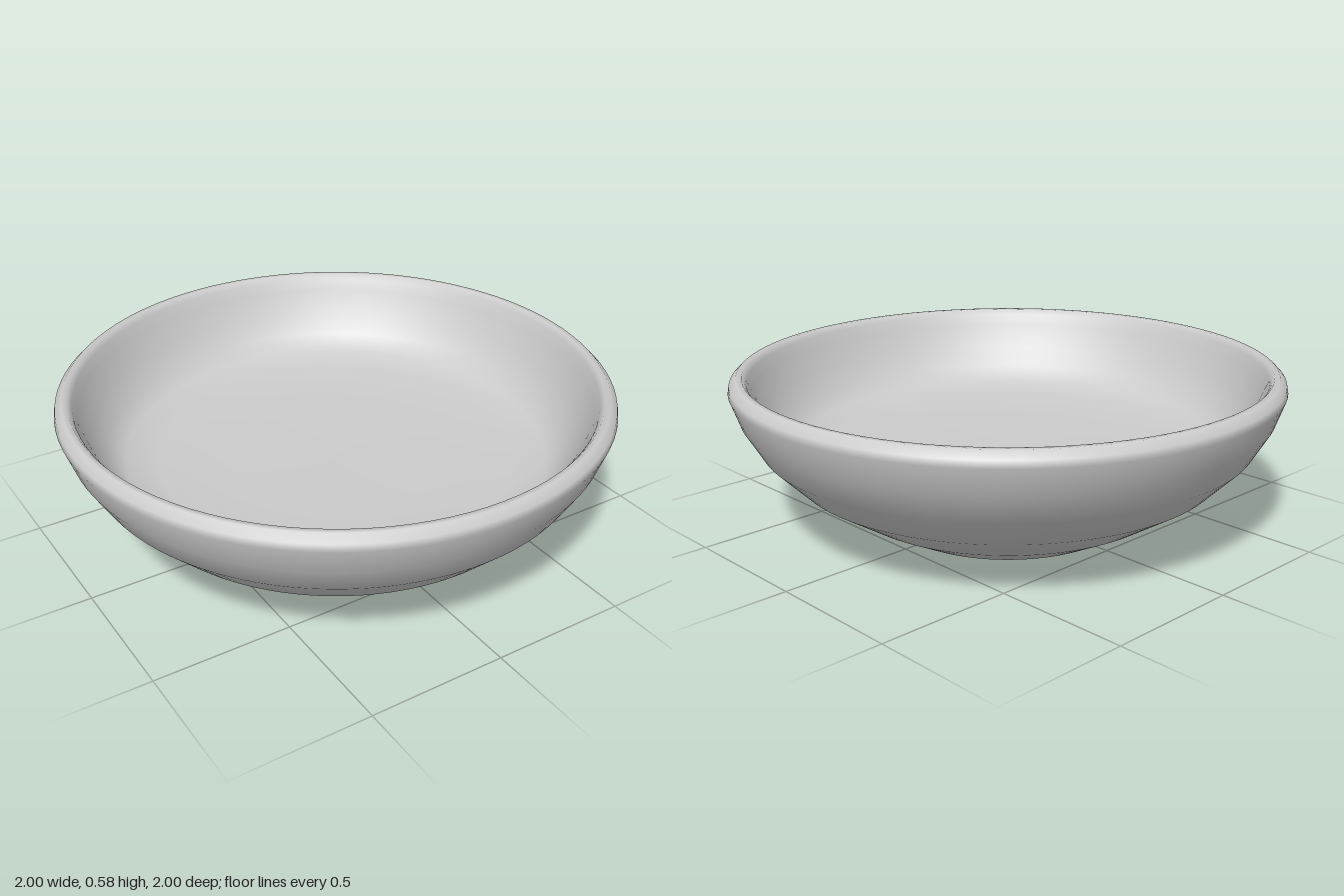
import * as THREE from 'three';

export function createModel() {
  const group = new THREE.Group();
  group.name = 'bowl';

  // Closed profile: base, outer wall, rounded rim, steep inner wall, thick floor
  const profile = [
    [0, 0], [0.4, 0], [0.44, 0], [0.6, 0.085], [0.78, 0.2], [0.9, 0.32],
    [0.965, 0.43], [1, 0.53], [0.995, 0.555], [0.97, 0.58], [0.95, 0.58],
    [0.935, 0.56], [0.92, 0.52], [0.88, 0.43], [0.83, 0.355], [0.77, 0.302],
    [0.65, 0.278], [0.4, 0.267], [0, 0.262],
  ].map(([r, y]) => new THREE.Vector2(r, y));

  const shell = new THREE.Mesh(
    new THREE.LatheGeometry(profile, 96),
    new THREE.MeshStandardMaterial({ color: 0xcccccc })
  );
  shell.name = 'bowlShell';
  group.add(shell);
  return group;
}
